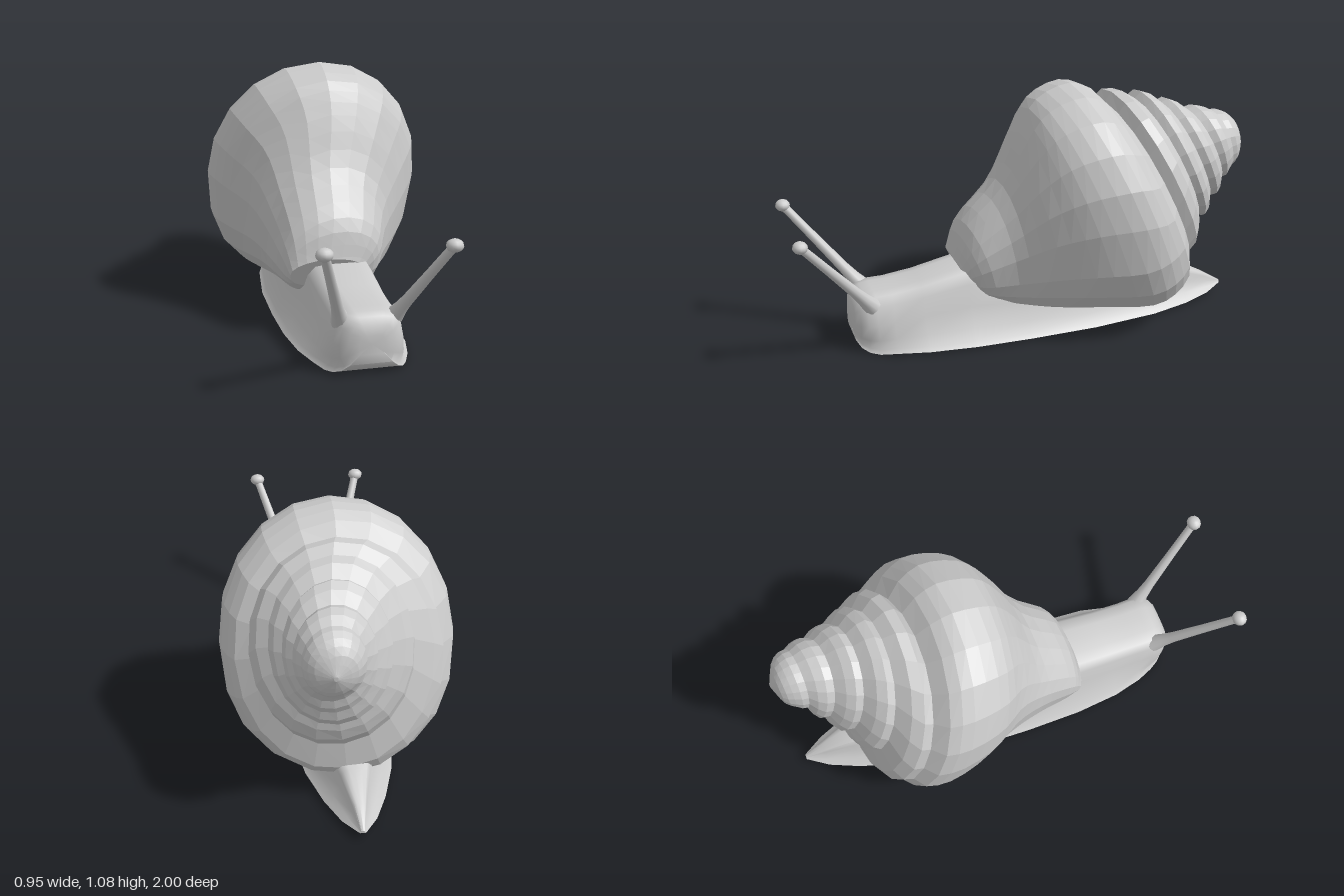
import * as THREE from 'three';
import { toCreasedNormals } from 'three/addons/utils/BufferGeometryUtils.js';

const V = (x, y, z) => new THREE.Vector3(x, y, z);
const MID = -0.028; // the body sits slightly off the shell's axis

// Skin rows of points, each running counter-clockwise seen from +z, ordered front to back.
function loft(rows) {
  const n = rows[0].length, index = [];
  for (let r = 0; r < rows.length - 1; r++) {
    for (let c = 0; c < n - 1; c++) {
      const a = r * n + c, b = a + 1, d = a + n, e = d + 1;
      index.push(a, d, e, a, e, b);
    }
  }
  const geo = new THREE.BufferGeometry().setFromPoints(rows.flat());
  geo.setIndex(index);
  geo.computeVertexNormals();
  return geo;
}

// A row collapsed to its centre, used to close an end.
function capRow(row) {
  const centre = row.slice(1).reduce((s, p) => s.add(p), V(0, 0, 0)).divideScalar(row.length - 1);
  return row.map(() => centre.clone());
}

// Spiral shell: tilted oval sections from the mouth to the apex, with a helical suture.
function shellGeometry() {
  // top z, top y, bottom z, bottom y, half width, centre x
  const stations = [
    [0.285, 0.33, 0.22, 0.2, 0.16, -0.08],
    [0.24, 0.49, 0.16, 0.15, 0.21, -0.05],
    [0.09, 0.67, 0.04, 0.11, 0.255, -0.03],
    [0, 0.88, -0.15, 0.09, 0.34, 0],
    [-0.08, 1.015, -0.38, 0.075, 0.435, 0],
    [-0.23, 1.075, -0.6, 0.06, 0.473, 0],
    [-0.37, 1.03, -0.745, 0.12, 0.42, 0],
    [-0.5, 1.03, -0.79, 0.35, 0.31, 0.03],
    [-0.62, 1.0, -0.84, 0.45, 0.23, 0.05],
    [-0.74, 0.955, -0.89, 0.55, 0.175, 0.068],
    [-0.86, 0.93, -0.925, 0.63, 0.132, 0.08],
    [-0.95, 0.885, -0.97, 0.69, 0.092, 0.08],
    [-1.0, 0.79, -1.0, 0.77, 0.008, 0.08],
  ];
  const last = stations.length - 1, sides = 20, steps = 3;
  const curve = (pick) => new THREE.CatmullRomCurve3(stations.map(pick), false, 'catmullrom');
  const tops = curve((s) => V(s[4], s[1], s[0]));
  const bottoms = curve((s) => V(s[5], s[3], s[2]));
  const { smoothstep, clamp, lerp } = THREE.MathUtils;

  const point = (uRaw, a) => {
    const u = clamp(uRaw, 0, last);
    const t = tops.getPoint(u / last), b = bottoms.getPoint(u / last);
    const fade = smoothstep(u, 5.3, 6.1) * (1 - smoothstep(u, 9.5, 11));
    const groove = 1 - Math.abs(Math.sin(Math.PI * (u + a / (2 * Math.PI))));
    const k = 1 - 0.12 * fade * groove;
    // the underside of the body whorl is squarer than the rest
    const power = Math.cos(a) < 0 ? lerp(0.75, 0.97, smoothstep(u, 4.3, 6)) : 0.98;
    const round = (v) => Math.sign(v) * Math.pow(Math.abs(v), power);
    const up = round(Math.cos(a)) * k / 2;
    return V(
      b.x - t.x * round(Math.sin(a)) * k,
      (t.y + b.y) / 2 + (t.y - b.y) * up,
      (t.z + b.z) / 2 + (t.z - b.z) * up,
    );
  };

  const rows = [];
  for (let j = 0; j <= (last + 1) * steps; j++) {
    const row = [];
    for (let c = 0; c <= sides; c++) {
      row.push(point(j / steps - c / sides, (c / sides) * Math.PI * 2));
    }
    rows.push(row);
  }
  return loft([capRow(rows[0]), ...rows, capRow(rows[rows.length - 1])]);
}

// Head, flared foot and pointed tail in one skin.
function bodyGeometry() {
  // z, foot half width, back half width, top y, sole y
  const stations = [
    [0.748, 0.05, 0.045, 0.16, 0.085],
    [0.74, 0.085, 0.08, 0.2, 0.045],
    [0.72, 0.115, 0.105, 0.228, 0.018],
    [0.69, 0.142, 0.12, 0.242, 0.004],
    [0.65, 0.165, 0.125, 0.248, 0],
    [0.58, 0.195, 0.123, 0.25, 0.008],
    [0.45, 0.226, 0.124, 0.268, 0.01],
    [0.25, 0.242, 0.13, 0.312, 0.01],
    [0, 0.24, 0.14, 0.3, 0.01],
    [-0.3, 0.225, 0.13, 0.25, 0.01],
    [-0.6, 0.18, 0.1, 0.2, 0.01],
    [-0.78, 0.125, 0.055, 0.165, 0.012],
    [-0.91, 0.07, 0.025, 0.1, 0.02],
    [-1.0, 0.012, 0.006, 0.045, 0.035],
  ];
  const rows = stations.map(([z, w, t, top, sole]) => {
    const h = top - sole;
    const half = [
      [w, 0],
      [w * 0.92, h * 0.07],
      [w * 0.45 + t * 0.66, h * 0.24],
      [t * 1.18, h * 0.5],
      [t * 1.06, h * 0.82],
      [t * 0.85, h * 0.97],
      [t * 0.45, h],
    ];
    const left = half.map(([x, y]) => V(MID + x, sole + y, z));
    const right = half.map(([x, y]) => V(MID - x, sole + y, z)).reverse();
    return [...left, V(MID, top, z), ...right, left[0].clone()];
  });
  const geo = loft([capRow(rows[0]), ...rows, capRow(rows[rows.length - 1])]);
  return toCreasedNormals(geo, 0.9);
}

// Eye stalk with a flared base and a flattened knob; side is +1 for left, -1 for right.
function eyeStalk(side, material) {
  const group = new THREE.Group();
  group.name = side > 0 ? 'leftEyeStalk' : 'rightEyeStalk';
  const base = V(MID + side * 0.105, 0.2, 0.665);
  const tip = V(MID + side * 0.243, 0.565, 0.968);
  const axis = tip.clone().sub(base);
  const length = axis.length();
  const profile = [[0.04, 0], [0.029, 0.06], [0.024, 0.12], [0.02, 0.3], [0.018, length - 0.03], [0.022, length]];

  const stalk = new THREE.Mesh(
    new THREE.LatheGeometry(profile.map(([r, y]) => new THREE.Vector2(r, y)), 10), material);
  stalk.name = 'stalk';
  stalk.position.copy(base);
  stalk.quaternion.setFromUnitVectors(V(0, 1, 0), axis.normalize());

  const knob = new THREE.Mesh(new THREE.SphereGeometry(0.034, 12, 8), material);
  knob.name = 'eyeKnob';
  knob.scale.set(1, 0.76, 0.92);
  knob.position.copy(tip);
  group.add(stalk, knob);
  return group;
}

export function createModel() {
  const smooth = new THREE.MeshStandardMaterial({ color: 0xcccccc });
  const faceted = new THREE.MeshStandardMaterial({ color: 0xcccccc, flatShading: true });
  const snail = new THREE.Group();
  snail.name = 'snail';

  const shell = new THREE.Mesh(shellGeometry(), faceted);
  shell.name = 'shell';
  const body = new THREE.Mesh(bodyGeometry(), smooth);
  body.name = 'body';

  snail.add(shell, body, eyeStalk(1, smooth), eyeStalk(-1, smooth));
  return snail;
}
